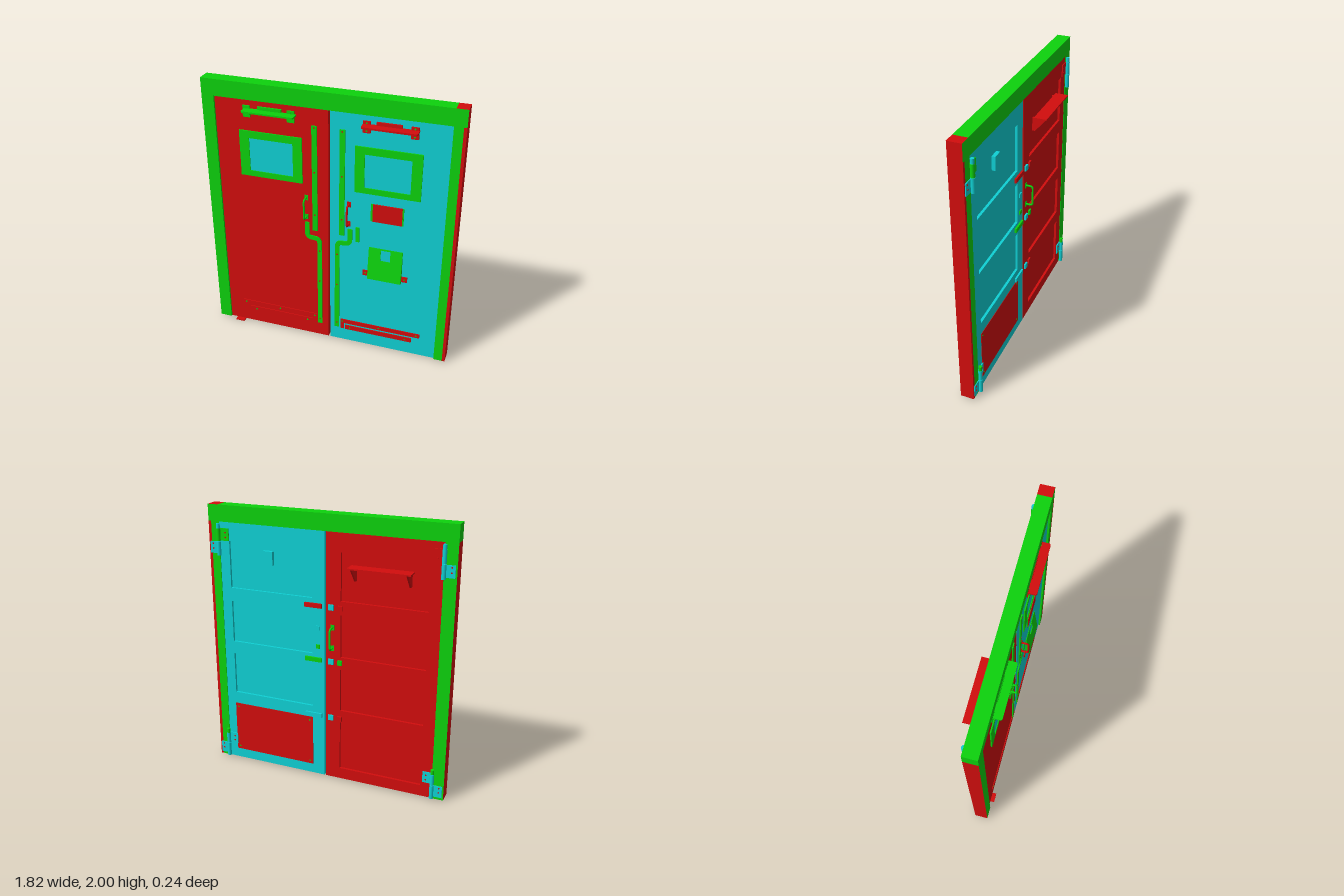
import * as THREE from 'three';

const mat = (name, color) => Object.assign(new THREE.MeshStandardMaterial({ color, side: THREE.DoubleSide }), { name });

export function createModel() {
  const root = new THREE.Group();
  root.name = 'doubleDoor';
  const red = mat('red', 0xd20d0d), green = mat('green', 0x0dd20d), cyan = mat('cyan', 0x0fd0d4);
  const FRONT = 0.055, BACK = -0.028, PANEL = -0.01;   // door surfaces in z

  const add = (name, geo, m) => {
    const mesh = new THREE.Mesh(geo, m);
    mesh.name = name;
    root.add(mesh);
    return mesh;
  };
  const box = (name, m, x0, x1, y0, y1, z0, z1) => {
    const [a, b] = [Math.min(x0, x1), Math.max(x0, x1)];
    const mesh = add(name, new THREE.BoxGeometry(b - a, y1 - y0, z1 - z0), m);
    mesh.position.set((a + b) / 2, (y0 + y1) / 2, (z0 + z1) / 2);
    return mesh;
  };
  const rect = (x0, x1, y0, y1, T = THREE.Shape) => {
    const [a, b] = [Math.min(x0, x1), Math.max(x0, x1)];
    return new T([[a, y0], [b, y0], [b, y1], [a, y1]].map(p => new THREE.Vector2(...p)));
  };
  const extrude = (name, m, shape, z0, z1) => {
    const mesh = add(name, new THREE.ExtrudeGeometry(shape, { depth: z1 - z0, bevelEnabled: false, curveSegments: 8 }), m);
    mesh.position.z = z0;
    return mesh;
  };
  const screw = (m, x, y, z) => {
    const s = add('screw', new THREE.CylinderGeometry(0.006, 0.006, 0.006, 8), m);
    s.rotation.x = Math.PI / 2;
    s.position.set(x, y, z);
  };

  // Frame (face order: +x, -x, +y, -y, +z, -z)
  const Z0 = -0.031, Z1 = 0.068;
  box('header', green, -0.909, 0.83, 1.88, 2, Z0, Z1);
  box('headerCorner', [red, green, red, green, green, green], 0.83, 0.909, 1.88, 2, Z0, Z1);
  box('rightJamb', [green, red, green, green, green, green], -0.909, -0.82, 0.01, 1.88, Z0, Z1);
  box('leftJamb', green, 0.825, 0.888, 0.01, 1.88, Z0, Z1);
  box('leftJambEdge', red, 0.888, 0.909, 0.01, 1.88, Z0, Z1);
  box('floorStop', red, -0.77, -0.7, 0, 0.01, -0.01, 0.086);

  // Door leaves with four recessed panels on the back
  const rows = [[1.4, 1.745], [0.985, 1.3], [0.57, 0.89], [0.095, 0.475]];
  for (const [name, m, a, b, p, q] of [
    ['rightLeaf', red, -0.819, -0.001, -0.735, -0.11],
    ['leftLeaf', cyan, 0.012, 0.824, 0.105, 0.75]]) {
    box(name, m, a, b, 0.01, 1.879, PANEL, FRONT);
    const stiles = rect(a, b, 0.01, 1.879);
    stiles.holes = rows.map(r => rect(p, q, ...r, THREE.Path));
    extrude(name + 'BackPanels', m, stiles, BACK, PANEL);
  }
  box('backKickPlate', red, 0.105, 0.755, 0.085, 0.478, BACK - 0.003, BACK + 0.004);
  for (const [x, y] of [[0.13, 0.45], [0.73, 0.45], [0.13, 0.11], [0.73, 0.11]]) screw(green, x, y, BACK - 0.002);
  box('backPlaque', cyan, 0.405, 0.48, 1.6, 1.7, -0.036, PANEL);

  // Pull handle: rounded tube with small foot plates
  const handle = (name, m, foot, x, z, reach) => {
    const y0 = 1.048, y1 = 1.202, d = Math.sign(reach) * 0.02;
    const v = (y, zz) => new THREE.Vector3(x, y, zz);
    const path = new THREE.CurvePath();
    path.add(new THREE.LineCurve3(v(y0, z), v(y0, reach - d)));
    path.add(new THREE.QuadraticBezierCurve3(v(y0, reach - d), v(y0, reach), v(y0 + 0.02, reach)));
    path.add(new THREE.LineCurve3(v(y0 + 0.02, reach), v(y1 - 0.02, reach)));
    path.add(new THREE.QuadraticBezierCurve3(v(y1 - 0.02, reach), v(y1, reach), v(y1, reach - d)));
    path.add(new THREE.LineCurve3(v(y1, reach - d), v(y1, z)));
    add(name, new THREE.TubeGeometry(path, 60, 0.007, 10), m);
    for (const y of [y0, y1]) box(name + 'Foot', foot, x - 0.013, x + 0.013, y - 0.02, y + 0.02, z - 0.003, z + 0.004);
  };
  handle('rightPull', green, green, -0.165, FRONT, 0.108);
  handle('leftPull', red, red, 0.15, FRONT, 0.108);
  handle('backPull', green, green, -0.05, BACK, -0.08);

  // Fittings that appear on both leaves
  for (const s of [-1, 1]) {
    const m = s < 0 ? green : red;

    // Window surround and glass
    const ring = rect(s * 0.188, s * 0.648, 1.31, 1.653);
    ring.holes = [rect(s * 0.256, s * 0.577, 1.352, 1.6, THREE.Path)];
    extrude('windowSurround', green, ring, FRONT, FRONT + 0.009);
    box('windowGlass', cyan, s * 0.25, s * 0.58, 1.345, 1.607, FRONT, FRONT + 0.003);

    // Overhead bracket with a thin projecting plate
    const plate = new THREE.Shape();
    plate.moveTo(0.23, 0);
    plate.lineTo(0.23, 0.055);
    plate.quadraticCurveTo(0.23, 0.067, 0.245, 0.067);
    plate.lineTo(0.59, 0.067);
    plate.quadraticCurveTo(0.605, 0.067, 0.605, 0.055);
    plate.lineTo(0.605, 0);
    const top = extrude('closerPlate', m, plate, 0, 0.012);
    top.rotation.x = Math.PI / 2;
    top.position.set(s < 0 ? -0.83 : 0.008, 1.817, FRONT);
    box('closerBack', m, s * 0.33, s * 0.5, 1.815, 1.84, FRONT, FRONT + 0.012);
    for (const x of [0.238, 0.558]) {
      box('closerEnd', m, s * x, s * (x + 0.052), 1.755, 1.838, FRONT, FRONT + 0.01);
      for (const y of [1.77, 1.825]) screw(green, s * (x + 0.026), y, FRONT + 0.009);
    }

    // Long straight cover strip
    box('coverStrip', green, s * 0.08, s * 0.118, 0.945, 1.754, FRONT, FRONT + 0.008);
    for (const y of [1.74, 1.41, 1.075]) screw(red, s * 0.099, y, FRONT + 0.007);

    // Cranked strip swept as a flat band along an S path
    const V = (x, y) => new THREE.Vector2(s * x, y);
    const path = new THREE.CurvePath();
    path.add(new THREE.LineCurve(V(0.16, 1.005), V(0.16, 0.92)));
    path.add(new THREE.QuadraticBezierCurve(V(0.16, 0.92), V(0.16, 0.885), V(0.13, 0.883)));
    path.add(new THREE.LineCurve(V(0.13, 0.883), V(0.097, 0.88)));
    path.add(new THREE.QuadraticBezierCurve(V(0.097, 0.88), V(0.067, 0.88), V(0.067, 0.845)));
    path.add(new THREE.LineCurve(V(0.067, 0.845), V(0.067, 0.124)));
    const left = [], right = [];
    for (const c of path.curves) for (let i = 0; i <= 6; i++) {
      const p = c.getPoint(i / 6), t = c.getTangent(i / 6);
      left.push(new THREE.Vector2(p.x - t.y * 0.017, p.y + t.x * 0.017));
      right.unshift(new THREE.Vector2(p.x + t.y * 0.017, p.y - t.x * 0.017));
    }
    extrude('crankedStrip', green, new THREE.Shape([...left, ...right]), FRONT, FRONT + 0.008);
    for (const y of [0.78, 0.515, 0.165]) screw(red, s * 0.067, y, FRONT + 0.007);

    // Low rails
    box('upperRail', red, s * 0.095, s * 0.706, 0.167, 0.201, FRONT, FRONT + 0.006);
    box('railEnd', red, s * 0.095, s * 0.123, 0.116, 0.167, FRONT, FRONT + 0.006);
    box('lowerRail', red, s * 0.132, s * 0.645, 0.114, 0.151, FRONT, FRONT + 0.006);
    for (const [x, y] of [[0.11, 0.184], [0.395, 0.184], [0.68, 0.184], [0.17, 0.13], [0.595, 0.13]])
      screw(green, s * x, y, FRONT + 0.005);

    // Hinges: knuckles, door flap and jamb flap
    for (const [y0, yMid, y1, upper] of [[1.64, 1.745, 1.87, s > 0 ? green : cyan], [0.02, 0.13, 0.25, cyan]]) {
      const knuckle = (m2, a, b, r) => {
        const k = add('hingeKnuckle', new THREE.CylinderGeometry(r, r, b - a, 14), m2);
        k.position.set(s * 0.824, (a + b) / 2, -0.047);
      };
      knuckle(cyan, y0, yMid - 0.004, 0.015);
      knuckle(upper, yMid, y1 - 0.035, 0.015);
      knuckle(y0 < 1 ? green : cyan, y1 - 0.035, y1, 0.013);
      const flap = s > 0 ? green : red;
      box('hingeDoorFlap', y0 > 1 ? flap : cyan, s * 0.75, s * 0.824, yMid, y1 - 0.035, -0.036, BACK);
      box('hingeJambFlap', cyan, s * 0.824, s * 0.898, y0 + 0.01, yMid - 0.01, -0.037, -0.03);
      for (const dy of [0.025, 0.06]) {
        screw(red, s * 0.775, yMid + dy, -0.035);
        screw(red, s * 0.875, yMid - dy, -0.036);
      }
    }
  }

  // Small latch cover and letter plate on the left leaf
  box('latchCover', green, 0.203, 0.229, 0.913, 1.03, FRONT, FRONT + 0.009);
  box('letterPlate', green, 0.307, 0.54, 1.1, 1.235, FRONT, FRONT + 0.005);
  box('letterFlap', red, 0.322, 0.53, 1.1, 1.235, FRONT, FRONT + 0.009);

  // Sloping holder with a cut-out and side cheeks
  const face = rect(0.302, 0.547, 0, 0.251);
  face.holes = [rect(0.39, 0.46, 0.158, 0.24, THREE.Path)];
  const holder = extrude('holderFace', green, face, 0, 0.005);
  holder.rotation.x = -0.124;
  holder.position.set(0, 0.637, 0.087);
  for (const x of [0.302, 0.542]) {
    const cheek = extrude('holderCheek', green, new THREE.Shape([
      new THREE.Vector2(-FRONT, 0.64), new THREE.Vector2(-0.09, 0.64), new THREE.Vector2(-0.06, 0.88), new THREE.Vector2(-FRONT, 0.88)]), 0, 0.005);
    cheek.rotation.y = Math.PI / 2;
    cheek.position.set(x, 0, 0);
  }
  box('holderBase', green, 0.302, 0.547, 0.637, 0.643, FRONT, 0.088);
  for (const x of [0.26, 0.547]) {
    box('holderFoot', red, x, x + 0.042, 0.643, 0.685, FRONT, FRONT + 0.008);
    screw(green, x + 0.021, 0.664, FRONT + 0.007);
  }

  // Shelf on triangular brackets, back of the right leaf
  box('backShelf', red, -0.63, -0.188, 1.655, 1.665, -0.122, BACK);
  for (const x of [-0.61, -0.22]) {
    const bracket = extrude('shelfBracket', red, new THREE.Shape([
      new THREE.Vector2(-PANEL, 1.555), new THREE.Vector2(0.03, 1.555), new THREE.Vector2(0.115, 1.655), new THREE.Vector2(-PANEL, 1.655)]), 0, 0.012);
    bracket.rotation.y = Math.PI / 2;
    bracket.position.x = x;
  }

  // Sliding bolts and their keepers across the meeting edge
  for (const [y, bolt, keeper] of [[1.35, red, red], [0.945, green, green], [0.505, cyan, red]]) {
    box('bolt', bolt, 0.03, 0.16, y - 0.016, y + 0.016, -0.042, BACK);
    box('boltGuide', cyan, -0.06, -0.02, y - 0.02, y + 0.02, -0.041, BACK);
    box('boltKeeper', keeper, -0.125, -0.092, y - 0.018, y + 0.018, -0.041, BACK);
  }
  box('latchButton', cyan, 0.045, 0.075, 1.17, 1.2, -0.036, BACK);
  box('lockButton', green, 0.045, 0.075, 1.03, 1.06, -0.036, BACK);
  return root;
}
